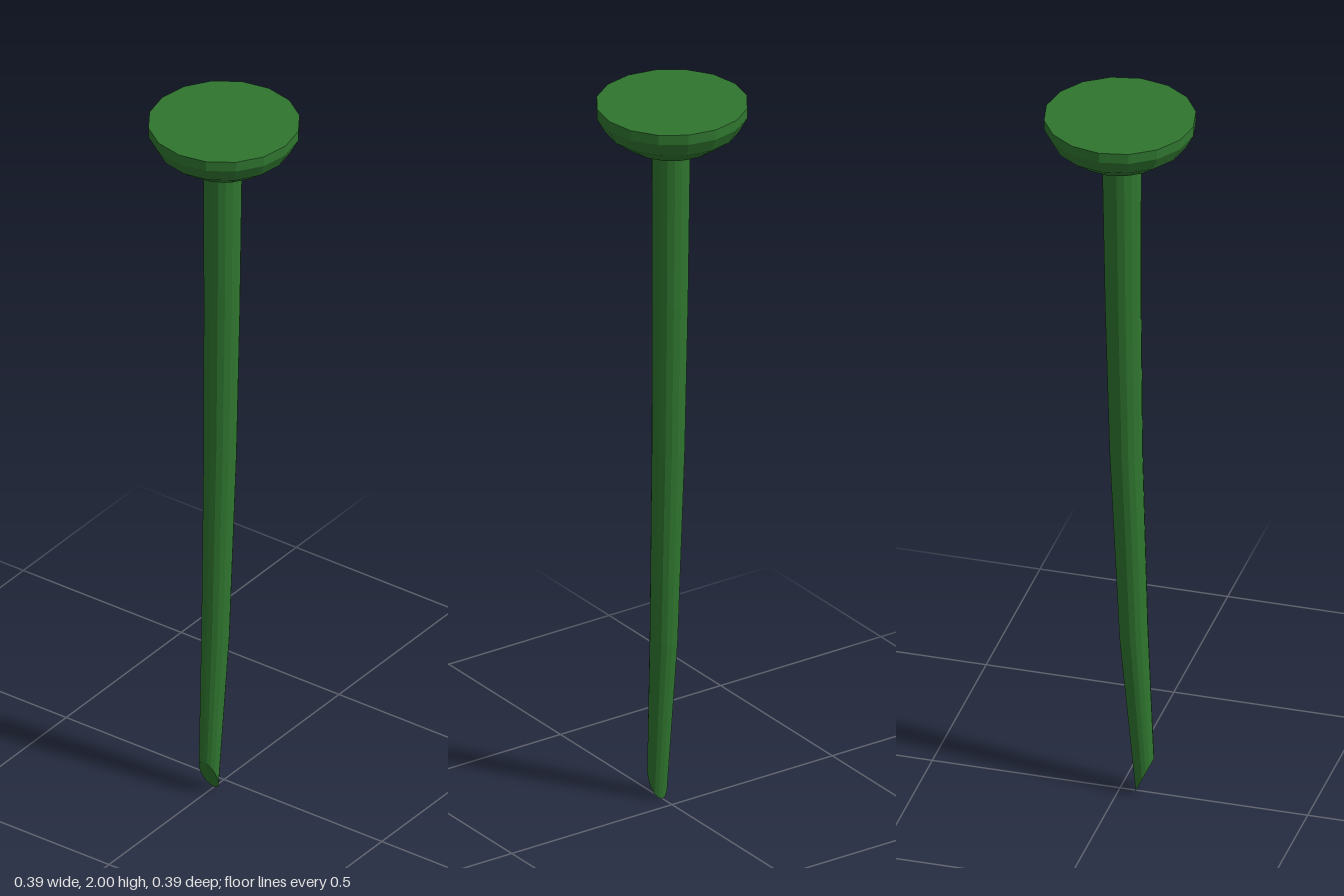
import * as THREE from 'three';

export function createModel() {
  const group = new THREE.Group();
  const material = new THREE.MeshStandardMaterial({ color: 0x2f752f, flatShading: true });

  // Flat-topped, rounded head
  const profile = [[0, 1.86], [0.05, 1.863], [0.122, 1.892], [0.175, 1.932], [0.196, 1.972], [0.196, 2], [0, 2]];
  const head = new THREE.Mesh(
    new THREE.LatheGeometry(profile.map(([r, y]) => new THREE.Vector2(r, y)), 16), material);
  head.name = 'head';
  group.add(head);

  // Bent, tapering shaft: each ring is [left x, left y, right x, right y, depth radius],
  // and the lowest ring slopes to form the cut point
  const rings = [
    [-0.09, 0.1, -0.043, 0, 0.027],
    [-0.074, 0.48, 0, 0.45, 0.036],
    [-0.06, 1, 0.026, 1, 0.043],
    [-0.056, 1.43, 0.038, 1.43, 0.047],
    [-0.055, 1.88, 0.046, 1.88, 0.05],
  ];
  const geometry = new THREE.CylinderGeometry(1, 1, 1, 16, rings.length - 1);
  const pos = geometry.attributes.position;
  for (let i = 0; i < pos.count; i++) {
    const ring = rings[Math.round((pos.getY(i) + 0.5) * (rings.length - 1))];
    const t = (pos.getX(i) + 1) / 2;
    pos.setXYZ(i,
      THREE.MathUtils.lerp(ring[0], ring[2], t),
      THREE.MathUtils.lerp(ring[1], ring[3], t),
      pos.getZ(i) * ring[4]);
  }
  geometry.computeVertexNormals();
  const shaft = new THREE.Mesh(geometry, material);
  shaft.name = 'shaft';
  group.add(shaft);

  return group;
}
